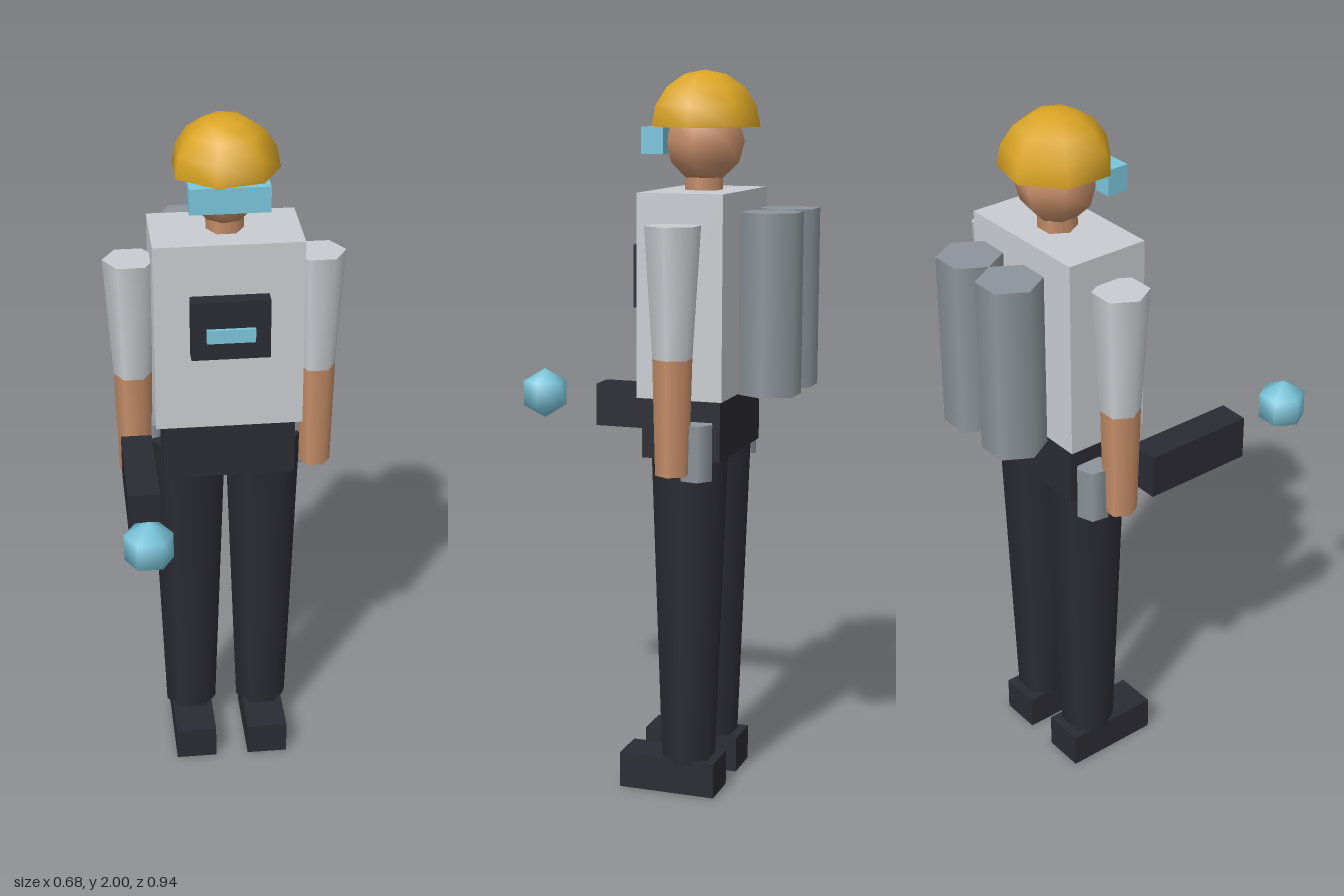
import * as THREE from 'three';

const mat = (name, color, extra = {}) => {
  const m = new THREE.MeshStandardMaterial({ color, ...extra });
  m.name = name;
  return m;
};

export function createModel() {
  const group = new THREE.Group();
  const shirt = mat('light grey', 0xc9cdd1);
  const skin = mat('skin', 0xc68e69);
  const dark = mat('charcoal', 0x2b2b34);
  const blue = mat('light blue', 0x7ac6dc);
  const steel = mat('steel grey', 0x8c949b);
  const gold = mat('helmet gold', 0xdaa424, { side: THREE.DoubleSide });
  const Z = -0.178; // body axis

  const add = (name, geometry, material, x, y, z) => {
    const mesh = new THREE.Mesh(geometry, material);
    mesh.name = name;
    mesh.position.set(x, y, z);
    group.add(mesh);
    return mesh;
  };
  // box from its low and high corners
  const box = (name, material, [x0, y0, z0], [x1, y1, z1]) =>
    add(name, new THREE.BoxGeometry(x1 - x0, y1 - y0, z1 - z0), material,
      (x0 + x1) / 2, (y0 + y1) / 2, (z0 + z1) / 2);
  // six-sided tapered column, corners on the x axis unless turned
  const column = (name, material, x, z, y0, y1, r0, r1, turn = 90) =>
    add(name, new THREE.CylinderGeometry(r1, r0, y1 - y0, 6, 1, false, THREE.MathUtils.degToRad(turn)),
      material, x, (y0 + y1) / 2, z);

  // Torso and hips
  box('torso', shirt, [-0.207, 1.13, -0.297], [0.207, 1.68, -0.057]);
  box('hips', dark, [-0.187, 0.963, -0.287], [0.187, 1.135, -0.066]);

  // Chest unit
  box('chestPanel', dark, [-0.109, 1.362, -0.06], [0.109, 1.534, -0.013]);
  box('chestDisplay', blue, [-0.067, 1.415, -0.02], [0.067, 1.455, -0.003]);

  // Head, goggles and helmet
  column('neck', skin, 0, Z, 1.66, 1.76, 0.053, 0.053);
  add('head', new THREE.SphereGeometry(0.11, 7, 6), skin, 0, 1.81, Z).rotation.y = Math.PI;
  box('goggles', blue, [-0.109, 1.778, -0.097], [0.109, 1.85, -0.035]);
  add('helmet', new THREE.SphereGeometry(0.152, 7, 4, 0, Math.PI * 2, 0, Math.PI / 2),
    gold, 0, 1.849, Z).rotation.y = Math.PI;

  // Mirrored limbs and gear
  for (const [side, s] of [['left', 1], ['right', -1]]) {
    column(side + 'Sleeve', shirt, s * 0.262, Z, 1.25, 1.6, 0.054, 0.0756);
    column(side + 'Forearm', skin, s * 0.262, Z, 0.937, 1.25, 0.046, 0.054);
    column(side + 'Leg', dark, s * 0.109, Z, 0.09, 1.03, 0.076, 0.109);
    box(side + 'Foot', dark, [s * 0.109 - 0.06, 0, -0.27], [s * 0.109 + 0.06, 0.1, 0.008]);
    column(side + 'BackTank', steel, s * 0.087, -0.396, 1.142, 1.63, 0.087, 0.087);
    column(side + 'HipCanister', steel, s * 0.208, -0.228, 0.917, 1.07, 0.048, 0.048, 110);
  }

  // Hand tool with the orb floating ahead of it
  box('handTool', dark, [-0.305, 0.963, -0.1], [-0.218, 1.088, 0.225]);
  add('orb', new THREE.SphereGeometry(0.075, 6, 3), blue, -0.262, 1.044, 0.409);

  return group;
}
